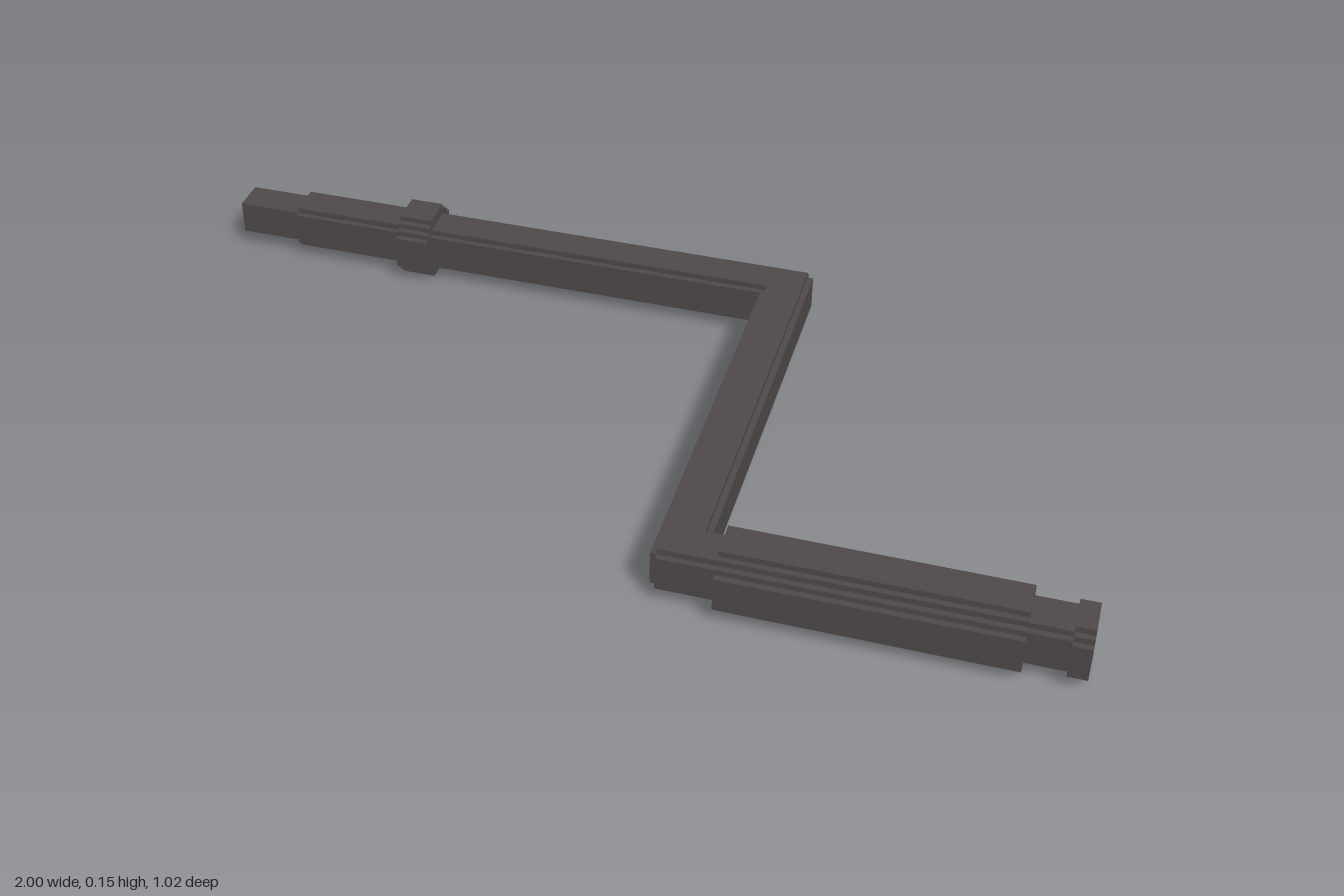
import * as THREE from 'three';

const U = 0.0121;     // one step of the notched cross-sections
const Y = 6 * U + 0.002; // height of the crank axis
const Z = 0.436;      // offset of shaft and handle from the centre
const ARM_X = 0.252;  // position of the connecting arm

// Quarter outlines, in steps, going counter-clockwise; each is turned four times
const SECTIONS = {
  square: [[3, 3]],
  rod: [[4, 3], [3, 3], [3, 4]],
  cap: [[5, 3], [4, 3], [4, 4], [3, 4], [3, 5]],
  grip: [[6, 3], [5, 3], [5, 4], [4, 4], [4, 5], [3, 5], [3, 6]],
};

function notchedBar(section, from, to) {
  const points = [];
  for (let q = 0; q < 4; q++) {
    for (const [x, y] of SECTIONS[section]) {
      points.push(new THREE.Vector2(x * U, y * U).rotateAround(new THREE.Vector2(), q * Math.PI / 2));
    }
  }
  const geometry = new THREE.ExtrudeGeometry(new THREE.Shape(points), { depth: to - from, bevelEnabled: false });
  return geometry.translate(0, 0, from);
}

export function createModel() {
  const group = new THREE.Group();
  group.name = 'crank';
  const iron = new THREE.MeshStandardMaterial({ color: 0x4f4a49 });
  iron.name = 'dark iron';

  // Bars that run along x
  const end = 3 * U;
  const bars = [
    ['squareDriveEnd', 'square', -1, -0.86, -Z],
    ['shaft', 'rod', -0.862, ARM_X + end, -Z],
    ['collar', 'grip', -0.615, -0.543, -Z],
    ['handleRod', 'rod', ARM_X - end, 0.965, Z],
    ['handleGrip', 'grip', 0.33, 0.885, Z],
    ['endCap', 'cap', 0.963, 1, Z],
  ];
  for (const [name, section, from, to, z] of bars) {
    const mesh = new THREE.Mesh(notchedBar(section, from, to).rotateY(Math.PI / 2), iron);
    mesh.name = name;
    mesh.position.set(0, Y, z);
    group.add(mesh);
  }

  // Arm that joins shaft and handle along z
  const arm = new THREE.Mesh(notchedBar('rod', -Z - end, Z + end), iron);
  arm.name = 'arm';
  arm.position.set(ARM_X, Y, 0);
  group.add(arm);

  return group;
}
